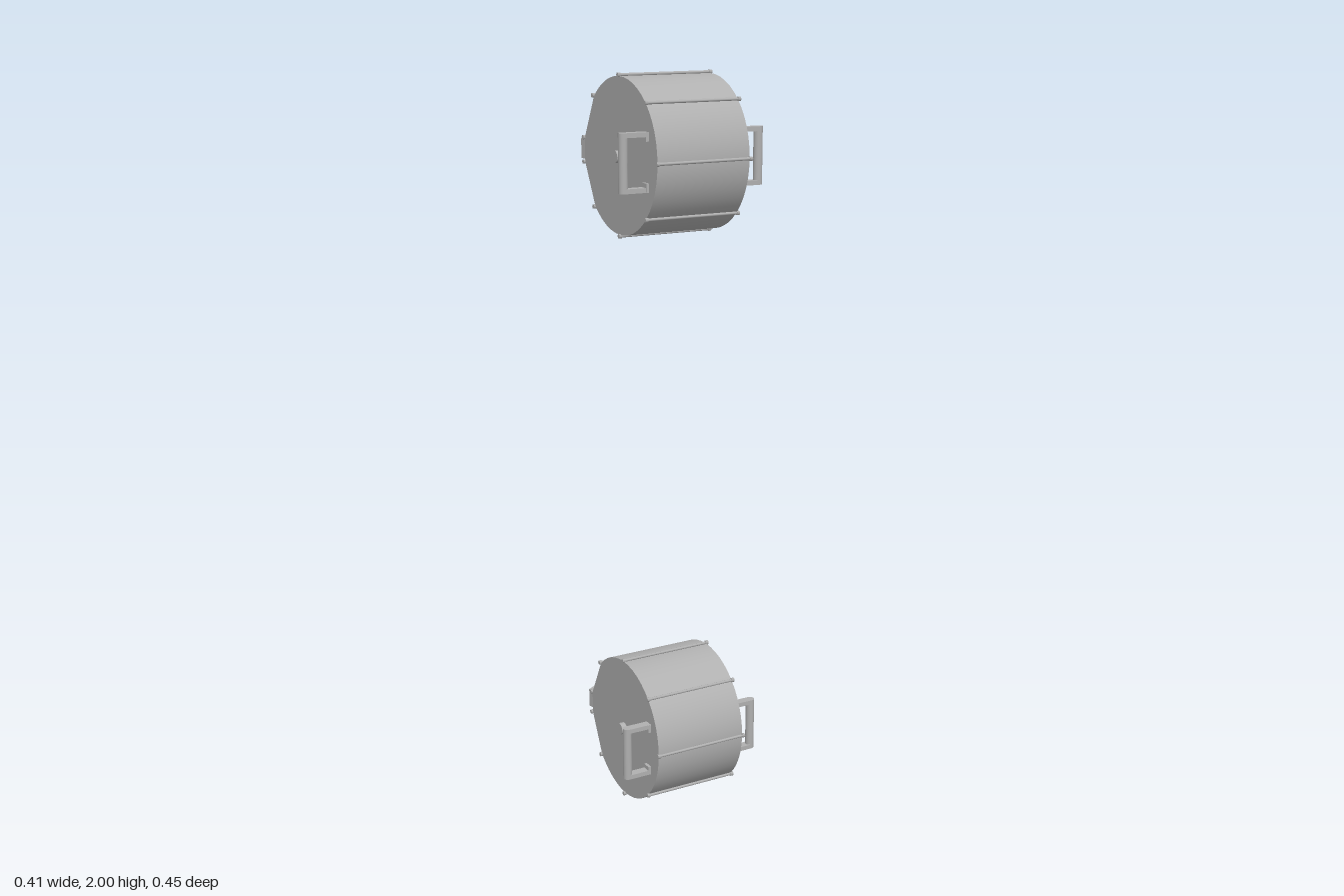
import * as THREE from 'three';
import { toCreasedNormals } from 'three/addons/utils/BufferGeometryUtils.js';

const steel = new THREE.MeshStandardMaterial({ color: 0xb0b0b0 });
steel.name = 'grey steel';

const R = 0.2;          // drum radius
const HALF = 0.132;     // half the drum width
const TILT = THREE.MathUtils.degToRad(7.2);
const rad = THREE.MathUtils.degToRad;

function add(parent, name, geometry, x = 0, y = 0, z = 0) {
  const mesh = new THREE.Mesh(geometry, steel);
  mesh.name = name;
  mesh.position.set(x, y, z);
  parent.add(mesh);
  return mesh;
}

// cylinder lying along x, from x0 to x1
function axial(parent, name, r, x0, x1, y, z, sides) {
  const g = new THREE.CylinderGeometry(r, r, x1 - x0, sides).rotateZ(-Math.PI / 2);
  return add(parent, name, g, (x0 + x1) / 2, y, z);
}

// round shell whose back runs flat from the 45 degree seams to the lip
function shellGeometry() {
  const points = [];
  for (let a = 45; a <= 315; a += 7.5) {
    points.push(new THREE.Vector2(R * Math.cos(rad(a)), R * Math.sin(rad(a))));
  }
  for (const a of [-9, 9]) {
    points.push(new THREE.Vector2(R * Math.cos(rad(a)), R * Math.sin(rad(a))));
  }
  const g = new THREE.ExtrudeGeometry(new THREE.Shape(points), { depth: 2 * HALF, bevelEnabled: false });
  g.translate(0, 0, -HALF).rotateY(Math.PI / 2);
  return toCreasedNormals(g, rad(15));
}

function makeHandle(side, reach) {
  const handle = new THREE.Group();
  handle.name = side > 0 ? 'leftHandle' : 'rightHandle';
  const grip = 0.012, w = 0.144;
  const length = reach - grip - HALF;
  add(handle, 'grip', new THREE.CylinderGeometry(grip, grip, 0.148, 16), side * (reach - grip), 0, w);
  for (const s of [-1, 1]) {
    add(handle, 'arm', new THREE.BoxGeometry(length, 0.012, 2 * grip), side * (HALF + length / 2), s * 0.068, w);
    add(handle, 'bracket', new THREE.BoxGeometry(0.008, 0.022, 0.026), side * (HALF + 0.004), s * 0.062, w);
  }
  return handle;
}

function makeDrum() {
  const drum = new THREE.Group();
  drum.name = 'drum';
  const body = new THREE.Group();
  body.name = 'drumBody';
  body.position.x = -0.012;
  body.rotation.y = TILT;
  drum.add(body);

  add(body, 'shell', shellGeometry());

  // tie rods along the seams, with a nut at each end
  for (const a of [0, 45, 90, 135, 171, 189, 225, 270, 315]) {
    const r = R + 0.003;
    const y = r * Math.sin(rad(a)), z = r * Math.cos(rad(a));
    axial(body, 'tieRod', 0.004, -HALF - 0.003, HALF + 0.003, y, z, 8);
    for (const s of [-1, 1]) {
      axial(body, 'rodNut', 0.006, s * (HALF + 0.001) - 0.004, s * (HALF + 0.001) + 0.004, y, z, 6);
    }
  }

  // bolted bearing cover and shaft
  axial(body, 'bearingCover', 0.1, HALF, HALF + 0.011, 0, 0, 40);
  for (let i = 0; i < 8; i++) {
    const a = rad(22.5 + i * 45);
    axial(body, 'coverBolt', 0.005, HALF + 0.01, HALF + 0.016, 0.085 * Math.sin(a), 0.085 * Math.cos(a), 6);
  }
  axial(body, 'shaft', 0.023, HALF, 0.186, 0, 0, 24);
  axial(body, 'shaftEnd', 0.016, -HALF - 0.015, -HALF, 0, 0, 16);

  body.add(makeHandle(1, 0.203), makeHandle(-1, 0.21));

  // rear lip, cut square at the back
  const outline = [[-0.167, 0.212], [-0.145, 0.229], [0.085, 0.229], [0.093, 0.2], [-0.155, 0.17]];
  const lip = new THREE.Shape(outline.map(([x, y]) => new THREE.Vector2(x, y)));
  const g = new THREE.ExtrudeGeometry(lip, { depth: 0.052, bevelEnabled: false });
  add(drum, 'rearLip', g.translate(0, 0, -0.026).rotateX(-Math.PI / 2));
  return drum;
}

export function createModel() {
  const model = new THREE.Group();
  model.name = 'drumPair';
  for (const [name, y] of [['lowerDrum', 0.207], ['upperDrum', 1.793]]) {
    const drum = makeDrum();
    drum.name = name;
    drum.position.y = y;
    model.add(drum);
  }
  return model;
}
